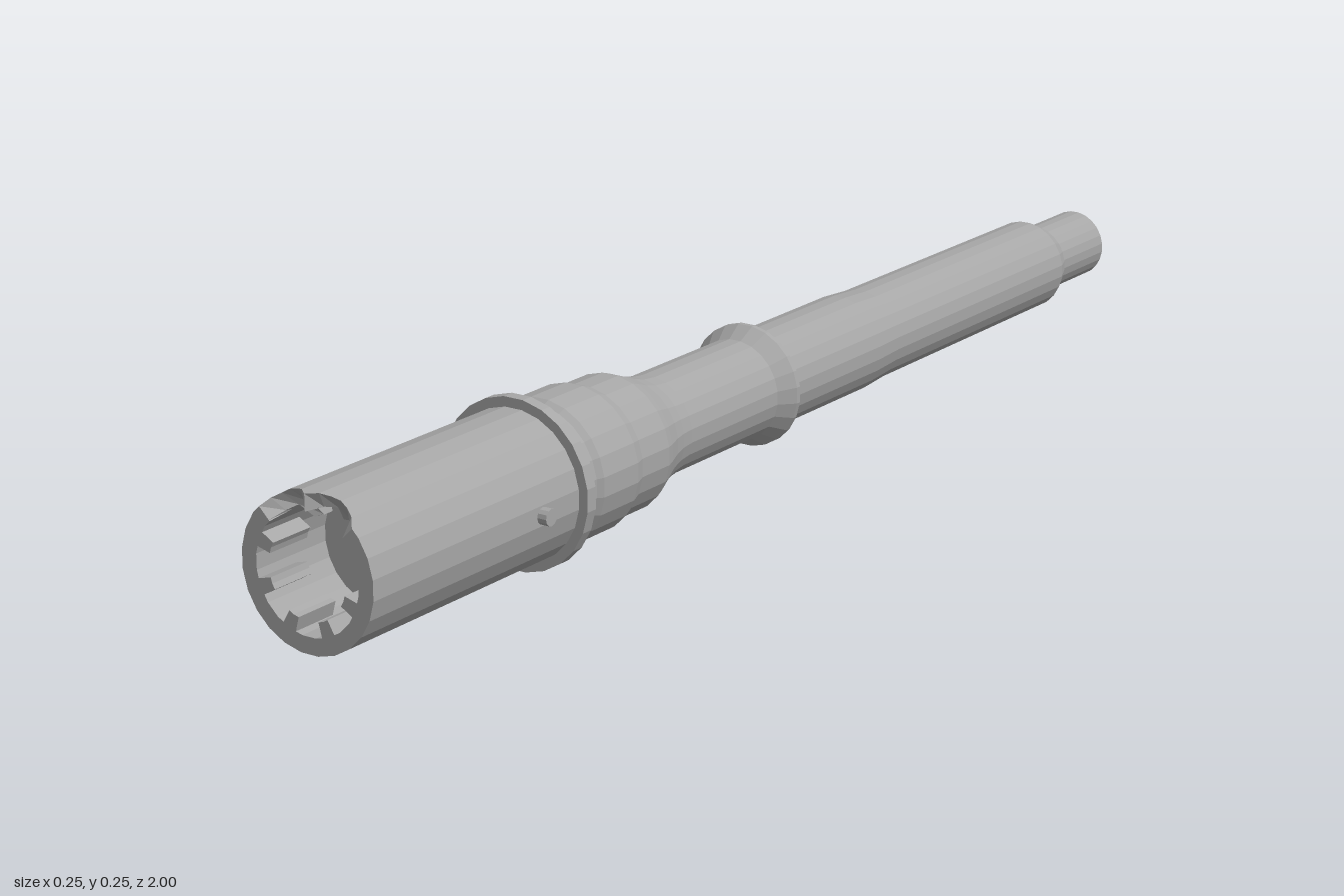
import * as THREE from 'three';

const SIDES = 24;
const STEP = (Math.PI * 2) / SIDES;
const AXIS_Y = 0.128;

const steel = new THREE.MeshStandardMaterial({ color: 0xa6a6a6, flatShading: true });
steel.name = 'steel grey';

// Surface turned around the z axis from [radius, z] pairs
function turned(name, profile) {
  const points = profile.map(([r, z]) => new THREE.Vector2(r, z));
  const geometry = new THREE.LatheGeometry(points, SIDES, STEP / 2).rotateX(Math.PI / 2);
  const mesh = new THREE.Mesh(geometry, steel);
  mesh.name = name;
  return mesh;
}

// Notched front socket: slots every 45 degrees, two ramps cut in the top
function socket() {
  const deg = Math.PI / 180;
  const columns = [];
  for (let a = 0; a <= 360; a += 7.5) {
    const offset = Math.abs(((a + 22.5) % 45) - 22.5);
    if (offset === 15) {
      // A radial wall: two columns at one angle
      const entering = (a % 45) === 30;
      columns.push([a, !entering], [a, entering]);
    } else columns.push([a, offset < 15]);
  }
  const rings = columns.map(([a, slot]) => {
    const off = Math.min(Math.abs(a - 67.5), Math.abs(a - 112.5));
    const cut = Math.max(0, 1 - (off / 22.5) ** 2);
    const inner = slot ? 0.088 : 0.066;
    // Keep the corners of the 24-sided outline
    const corner = Math.round(a / 7.5) % 2 === 1;
    const flat = corner ? 1 : Math.cos(STEP / 2);
    return [
      [0.113, 0.9], [0.113, 1 - 0.022 * cut], [0.09, 1 - 0.045 * cut],
      [inner, 1 - 0.065 * cut], [inner, 0.925], [0.088, 0.925],
      [0.088, 0.86], [0.043, 0.86],
    ].map(([r, z]) => [r * flat * Math.cos(a * deg), r * flat * Math.sin(a * deg), z]);
  });
  const positions = [];
  for (let j = 0; j < rings.length - 1; j++) {
    for (let i = 0; i < rings[j].length - 1; i++) {
      const a = rings[j][i], b = rings[j + 1][i];
      const c = rings[j][i + 1], d = rings[j + 1][i + 1];
      positions.push(...a, ...b, ...c, ...b, ...d, ...c);
    }
  }
  const geometry = new THREE.BufferGeometry();
  geometry.setAttribute('position', new THREE.Float32BufferAttribute(positions, 3));
  geometry.computeVertexNormals();
  const mesh = new THREE.Mesh(geometry, steel);
  mesh.name = 'frontSocket';
  return mesh;
}

// Small round pin sticking out of the side
function pin(name, side, z) {
  const mesh = new THREE.Mesh(new THREE.CylinderGeometry(0.0125, 0.0125, 0.022, 12), steel);
  mesh.rotation.z = Math.PI / 2;
  mesh.position.set(side * 0.116, 0, z);
  mesh.name = name;
  return mesh;
}

export function createModel() {
  const model = new THREE.Group();
  model.name = 'steppedTube';
  const body = new THREE.Group();
  body.name = 'body';
  body.position.y = AXIS_Y;
  model.add(body);

  // Hollow bore and stepped outer wall
  body.add(turned('bore', [[0.043, 0.86], [0.041, 0.55], [0.034, 0.5], [0.034, -1]]));
  body.add(turned('outerTube', [
    [0.034, -1], [0.055, -1], [0.055, -0.873], [0.06, -0.865], [0.073, -0.835],
    [0.074, -0.33], [0.078, -0.27], [0.078, 0.235], [0.081, 0.26], [0.088, 0.285],
    [0.1, 0.315], [0.105, 0.33], [0.105, 0.395], [0.112, 0.415], [0.112, 0.495],
    [0.106, 0.505], [0.106, 0.525], [0.113, 0.535], [0.113, 0.9],
  ]));
  // Thin flange behind the wide section and flared collar at mid length
  body.add(turned('flange', [[0.1, 0.537], [0.128, 0.537], [0.128, 0.556], [0.1, 0.556]]));
  body.add(turned('collar', [[0.07, -0.012], [0.086, -0.02], [0.095, -0.02], [0.095, -0.012], [0.078, 0.015]]));

  body.add(socket());
  body.add(pin('leftPin', 1, 0.638), pin('rightPin', -1, 0.59));
  return model;
}
